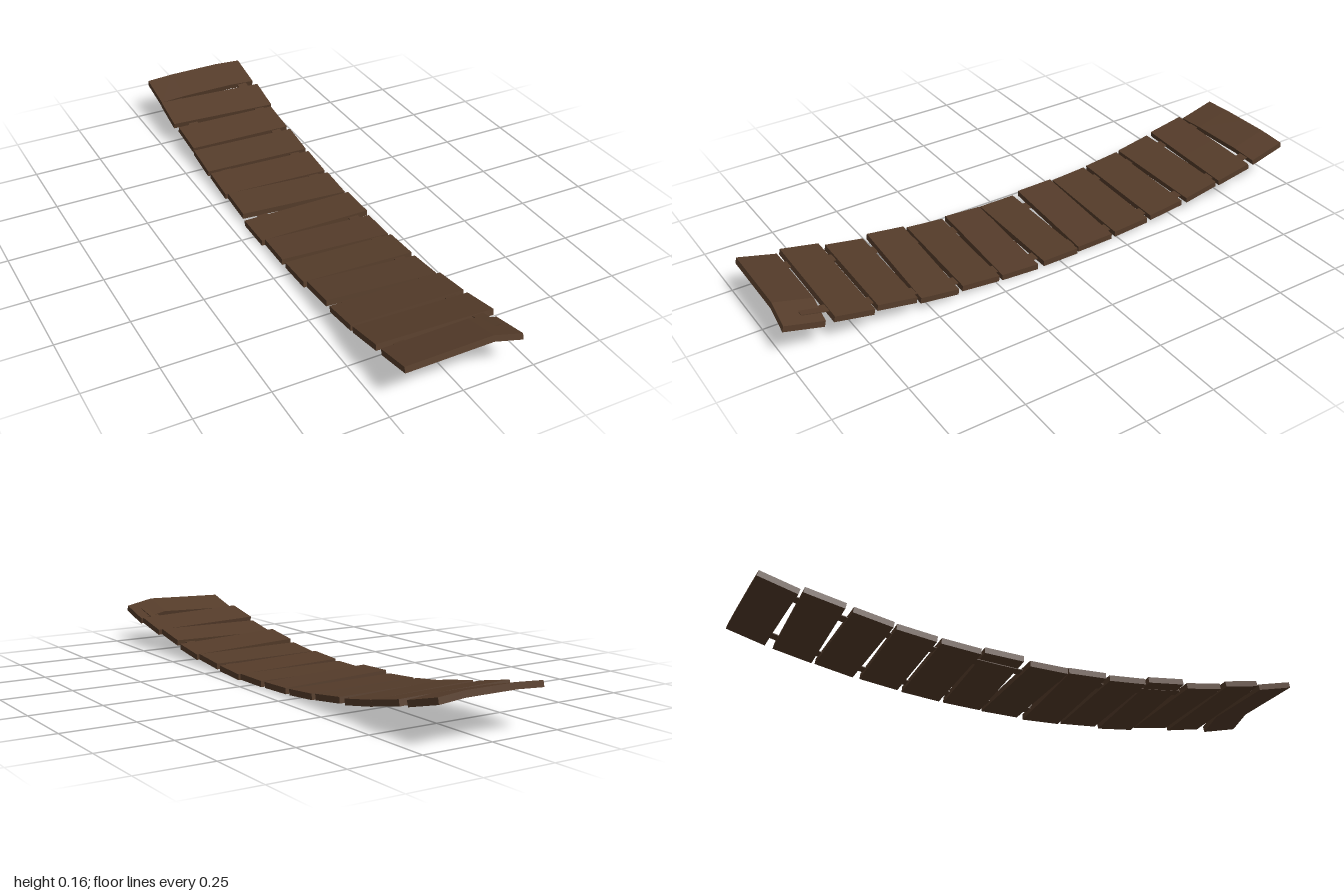
import * as THREE from 'three';

const sag = z => 0.022 + 0.136 * z * z;
const slope = z => 0.272 * z;

// Per plank, back to front: yaw, roll (+x side up), lift, half width, end drop at -x, end drop at +x
const PLANKS = [
  [0.015, 0.0, 0, 0.198, 0.006, 0.008],
  [-0.027, -0.02, 0, 0.205, 0, 0],
  [0.017, -0.03, 0, 0.198, 0, 0],
  [-0.02, -0.01, 0, 0.2, 0, 0],
  [-0.022, -0.015, 0, 0.2, 0, 0],
  [-0.03, -0.04, 0.006, 0.2, 0, 0],
  [0, 0, 0, 0.206, 0, 0],
  [-0.03, -0.035, 0, 0.2, 0, 0],
  [-0.025, -0.015, 0, 0.2, 0, 0],
  [-0.022, -0.055, 0.002, 0.2, 0, 0],
  [-0.022, 0.0, 0, 0.2, 0, 0],
  [0.005, -0.035, 0, 0.206, 0, 0],
  [-0.025, 0.02, 0, 0.198, 0, 0.026],
];

// Plank board whose outer quarters may droop
function plankGeometry(half, dropL, dropR) {
  const g = new THREE.BoxGeometry(half * 2, 0.021, 0.139, 4, 1, 1);
  const p = g.attributes.position;
  for (let i = 0; i < p.count; i++) {
    const x = p.getX(i);
    const t = Math.max(0, (Math.abs(x) - half / 2) / (half / 2));
    p.setY(i, p.getY(i) - t * (x < 0 ? dropL : dropR));
  }
  g.computeVertexNormals();
  return g;
}

// Thin strap following the sag under the planks
function strapGeometry() {
  const g = new THREE.BoxGeometry(0.038, 0.003, 1.86, 1, 1, 24);
  const p = g.attributes.position;
  for (let i = 0; i < p.count; i++) p.setY(i, p.getY(i) + sag(p.getZ(i)));
  g.computeVertexNormals();
  return g;
}

export function createModel() {
  const model = new THREE.Group();
  model.name = 'hangingBridge';
  const wood = new THREE.MeshStandardMaterial({ color: 0x553c2a, flatShading: true });

  // Planks, tilted along the sagging curve
  PLANKS.forEach(([yaw, roll, lift, half, dropL, dropR], i) => {
    const z = (i - 6) * 0.1542;
    const plank = new THREE.Mesh(plankGeometry(half, dropL, dropR), wood);
    plank.name = 'plank' + (i + 1);
    plank.position.set(0, sag(z) + lift, z);
    plank.rotation.set(-Math.atan(slope(z)), yaw, roll);
    model.add(plank);
  });

  // Two straps joining the planks
  for (const [name, x] of [['rightStrap', -0.13], ['leftStrap', 0.15]]) {
    const strap = new THREE.Mesh(strapGeometry(), wood);
    strap.name = name;
    strap.position.x = x;
    model.add(strap);
  }

  // Rest the lowest point on the ground
  model.updateMatrixWorld(true);
  const box = new THREE.Box3().setFromObject(model, true);
  for (const part of model.children) part.position.y -= box.min.y;
  return model;
}
